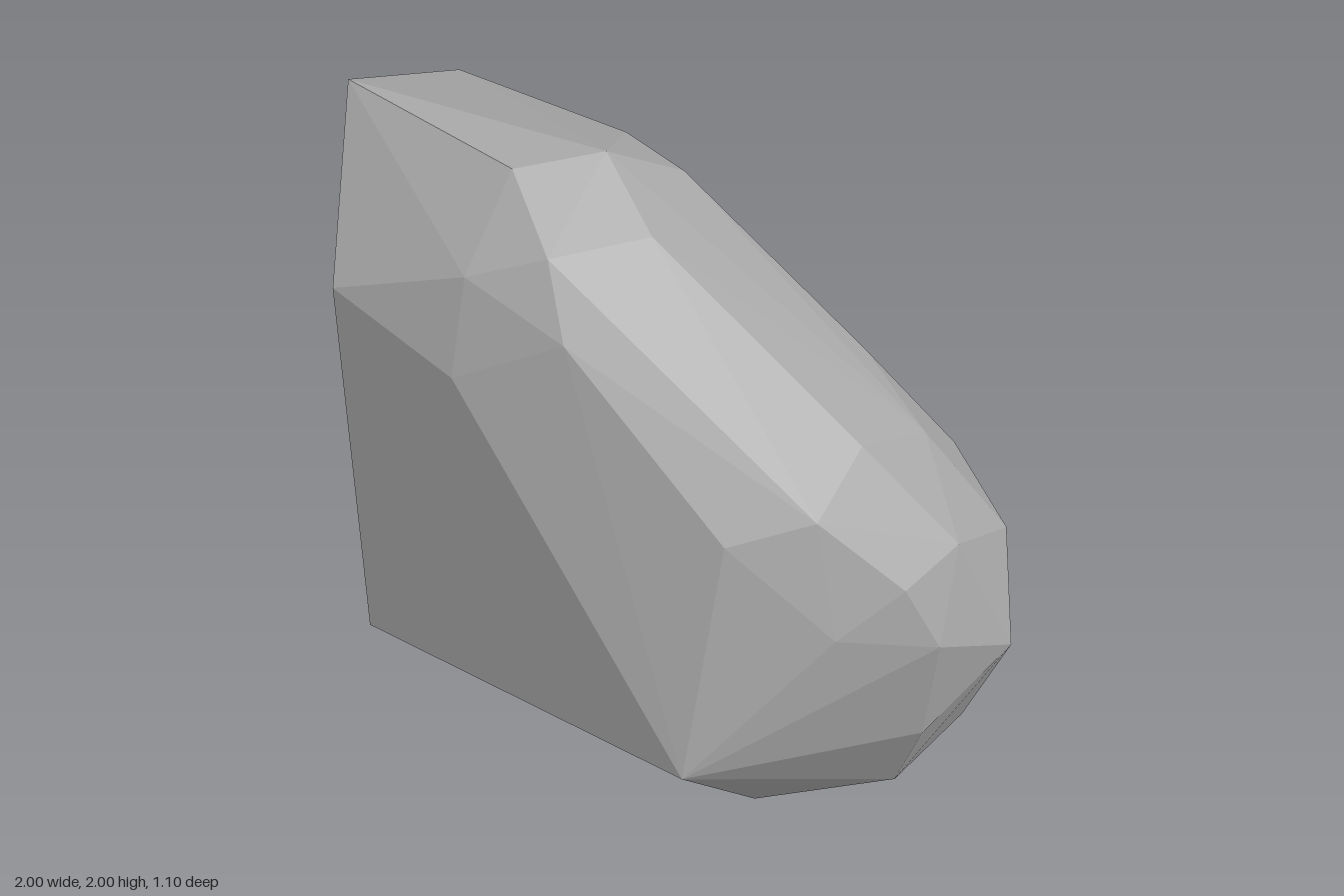
import * as THREE from 'three';
import { ConvexGeometry } from 'three/addons/geometries/ConvexGeometry.js';

// Corners of the faceted boulder, grouped by region.
const flatBase = [
  [-1, 0, 0.2], [0.425, 0, 0.2], [0.73, 0, -0.12],
  [0.755, 0, -0.5], [0.48, 0, -0.55], [-1, 0, -0.55],
];
const frontFace = [
  [-0.79, 0.34, 0.55], [0.4, 0.345, 0.55], [-0.79, 1.56, 0.55],
  [-0.37, 1.42, 0.55], [0.42, 1.08, 0.38],
];
const backFace = [
  [-1, 1.42, -0.55], [-0.52, 1.43, -0.55], [0.34, 1.14, -0.55],
  [0.76, 0.72, -0.55], [0.63, 1.0, -0.52],
];
const crown = [
  [-1, 2, 0.2], [-1, 1.85, -0.27], [-0.93, 1.66, -0.5],
  [-0.37, 1.93, 0.25], [-0.22, 1.935, 0.03], [-0.37, 1.83, -0.26],
  [-0.13, 1.8, -0.21], [-0.37, 1.62, -0.46], [-0.01, 1.775, 0.11],
  [-0.37, 1.7, 0.47], [-0.17, 1.77, 0.36], [-0.07, 1.57, 0.43],
];
const slope = [
  [0.41, 1.34, -0.34], [0.66, 1.19, -0.27], [0.6, 1.26, -0.02], [0.6, 1.13, 0.2],
];
const nose = [
  [0.87, 0.98, -0.12], [0.88, 0.87, -0.4], [0.82, 0.92, 0.08], [0.7, 0.79, 0.24],
  [0.91, 0.72, 0.02], [1, 0.58, -0.26], [0.86, 0.34, -0.02],
];

export function createModel() {
  const stone = new THREE.MeshStandardMaterial({ color: 0xa6a6a6, flatShading: true });
  stone.name = 'stone grey';

  // One solid rock wrapped around all corners
  const corners = [flatBase, frontFace, backFace, crown, slope, nose]
    .flat()
    .map((p) => new THREE.Vector3(...p));
  const boulder = new THREE.Mesh(new ConvexGeometry(corners), stone);
  boulder.name = 'boulder';

  const group = new THREE.Group();
  group.name = 'rock';
  group.add(boulder);
  return group;
}
